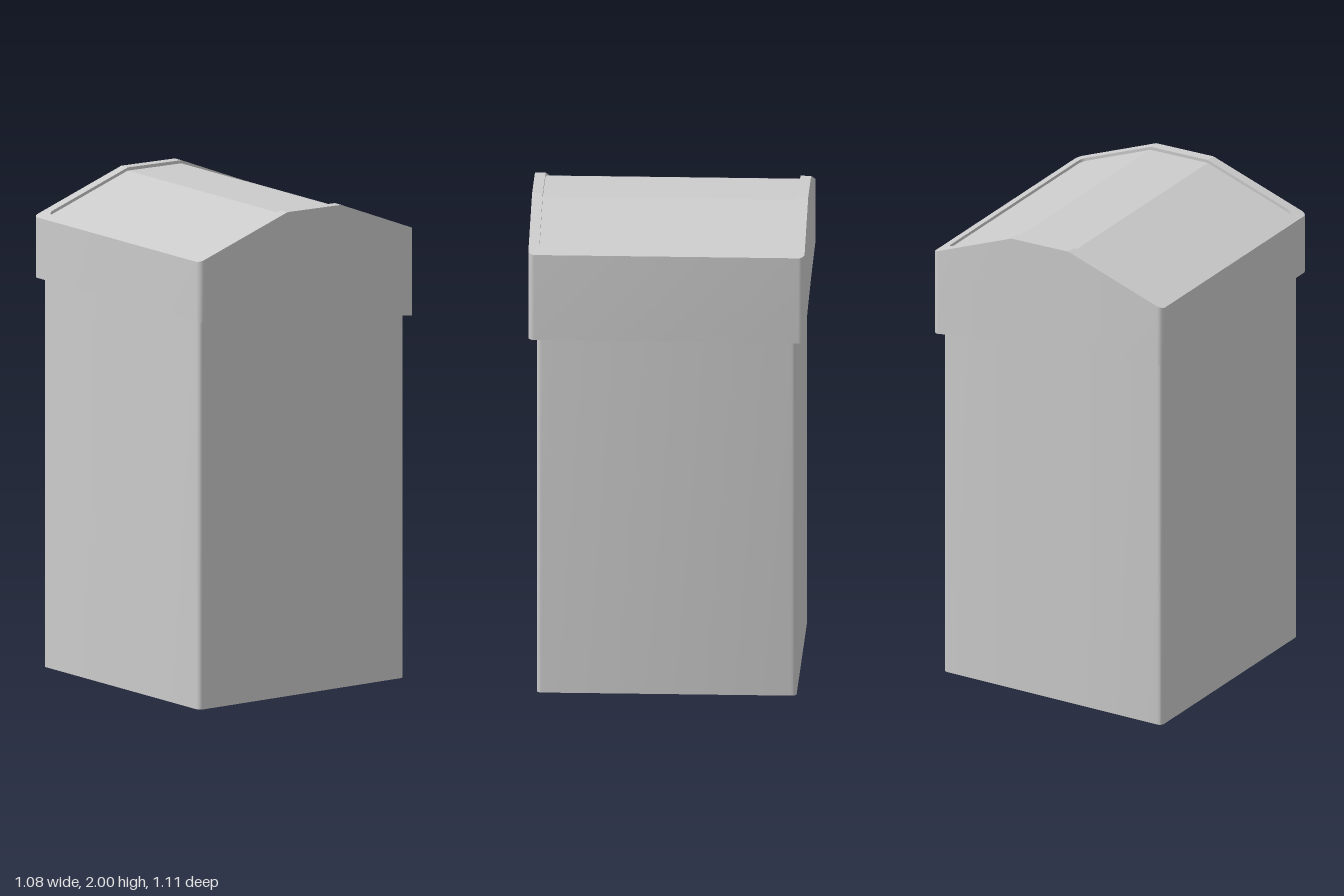
import * as THREE from 'three';
import { toCreasedNormals } from 'three/addons/utils/BufferGeometryUtils.js';

// Lid profiles along x: [x, height]
const TOP = [[-0.54, 1.85], [-0.1, 2.0], [0.17, 1.995], [0.54, 1.85]];
const BOTTOM = [[-0.54, 1.6], [-0.1, 1.573], [0.17, 1.542], [0.54, 1.492]];
const ARC = 6;

function heightAt(profile, x) {
  let i = 0;
  while (i < profile.length - 2 && x > profile[i + 1][0]) i++;
  const [x0, y0] = profile[i], [x1, y1] = profile[i + 1];
  return y0 + (y1 - y0) * (x - x0) / (x1 - x0);
}

// Rounded rectangle loop: front half left to right, then the mirrored back half
function loop(x0, x1, halfZ, r, height) {
  const half = [];
  const corner = (cx, from) => {
    for (let i = 0; i <= ARC; i++) {
      const a = from - (Math.PI / 2) * (i / ARC);
      half.push([cx + r * Math.cos(a), halfZ - r + r * Math.sin(a)]);
    }
  };
  corner(x0 + r, Math.PI);
  half.push([-0.1, halfZ], [0.17, halfZ]);
  corner(x1 - r, Math.PI / 2);
  const back = half.map(([x, z]) => [x, -z]).reverse();
  return [...half, ...back].map(([x, z]) => new THREE.Vector3(x, height(x), z));
}

// Skins successive loops; optionally closes the last one with front-to-back strips
function skin(name, loops, cap = false) {
  const pts = [];
  const quad = (a, b, c, d) => pts.push(a, b, c, a, c, d);
  const n = loops[0].length;
  for (let k = 0; k < loops.length - 1; k++) {
    const a = loops[k], b = loops[k + 1];
    for (let i = 0; i < n; i++) {
      const j = (i + 1) % n;
      quad(a[i], a[j], b[j], b[i]);
    }
  }
  if (cap) {
    const p = loops[loops.length - 1];
    for (let i = 0; i < n / 2 - 1; i++) quad(p[i], p[i + 1], p[n - 2 - i], p[n - 1 - i]);
  }
  const geo = toCreasedNormals(new THREE.BufferGeometry().setFromPoints(pts), 0.3);
  const mesh = new THREE.Mesh(geo, new THREE.MeshStandardMaterial({
    color: 0xcccccc, side: THREE.DoubleSide,
  }));
  mesh.name = name;
  return mesh;
}

export function createModel() {
  const group = new THREE.Group();
  group.name = 'bin';
  const top = x => heightAt(TOP, x);
  const bottom = x => heightAt(BOTTOM, x);
  const recessed = x => top(x) - 0.013;

  // Open-bottomed square body, cut to the sloping lower edge of the lid
  const bodyTop = loop(-0.52, 0.513, 0.523, 0.02, bottom);
  group.add(skin('body', [loop(-0.52, 0.513, 0.523, 0.02, () => 0), bodyTop]));

  // Lid: underside ledge, skirt and raised rim
  const rimInner = loop(-0.502, 0.497, 0.513, 0.025, top);
  group.add(skin('lid', [
    bodyTop,
    loop(-0.543, 0.54, 0.556, 0.025, bottom),
    loop(-0.543, 0.54, 0.556, 0.025, top),
    rimInner,
  ]));

  // Flap panel sunk slightly below the rim
  group.add(skin('lidFlap', [rimInner, loop(-0.502, 0.497, 0.513, 0.025, recessed)], true));
  return group;
}
